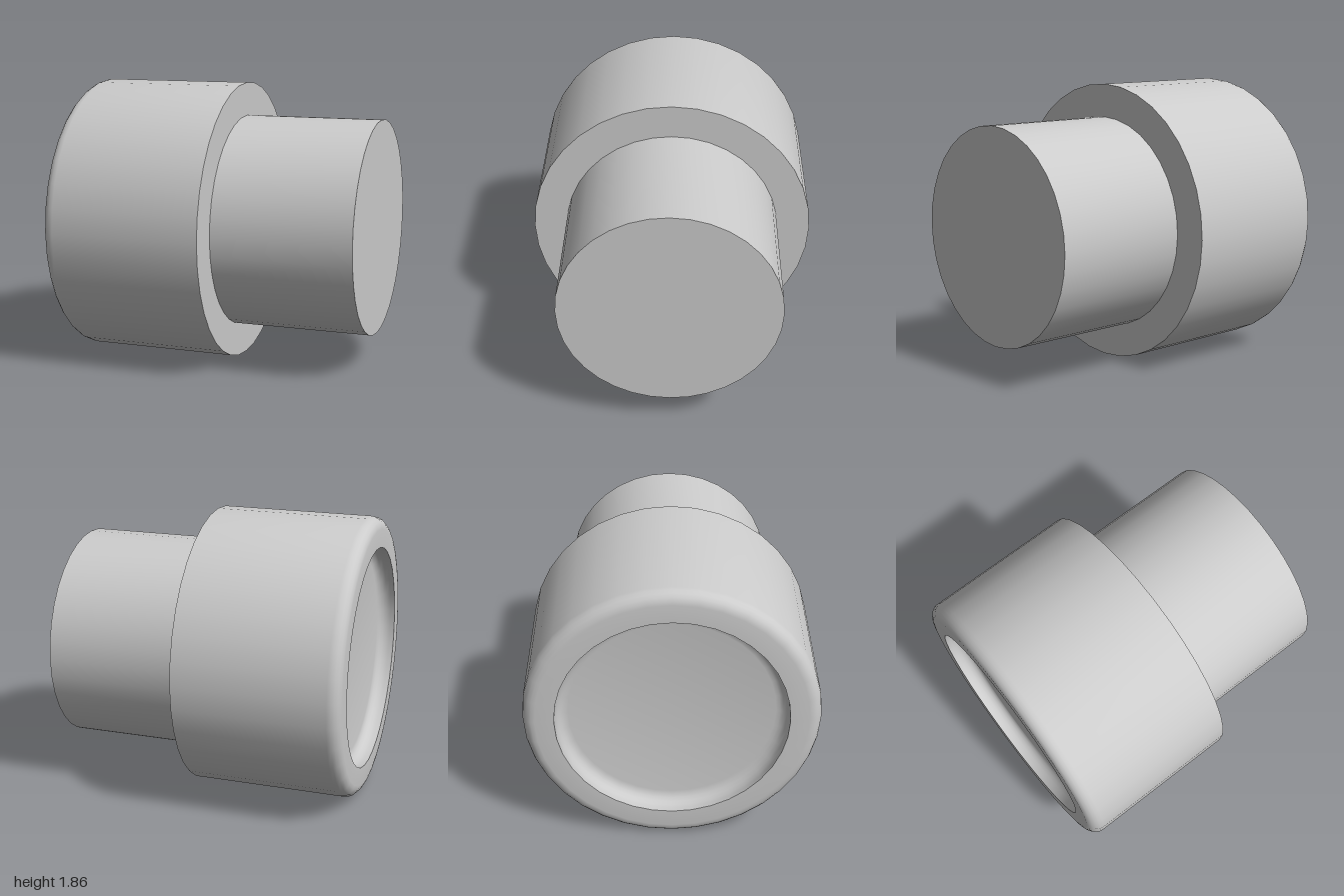
import * as THREE from 'three';
import { toCreasedNormals } from 'three/addons/utils/BufferGeometryUtils.js';

const SEGMENTS = 36;
const AXIS_HEIGHT = 0.93;

// Quarter-circle profile points (radius, position along the axis)
function fillet(cx, cy, r, from, to, steps = 5) {
  return Array.from({ length: steps + 1 }, (_, i) => {
    const a = from + ((to - from) * i) / steps;
    return new THREE.Vector2(cx + r * Math.cos(a), cy + r * Math.sin(a));
  });
}

// Turn a profile around the x axis, keeping hard edges crisp
function turned(name, points, material) {
  const geometry = toCreasedNormals(new THREE.LatheGeometry(points, SEGMENTS), 0.7);
  geometry.rotateZ(-Math.PI / 2);
  const mesh = new THREE.Mesh(geometry, material);
  mesh.name = name;
  mesh.position.y = AXIS_HEIGHT;
  return mesh;
}

export function createModel() {
  const group = new THREE.Group();
  group.name = 'steppedPlug';
  const material = new THREE.MeshStandardMaterial({ color: 0xcccccc });
  const p = (r, x) => new THREE.Vector2(r, x);

  // Wide head with a dished end, rounded rim and flat shoulder
  const head = [
    p(0, -0.89),
    ...fillet(0.65, -0.97, 0.08, Math.PI / 2, 0),
    p(0.73, -1),
    ...fillet(0.85, -0.92, 0.08, -Math.PI / 2, 0),
    p(0.93, 0.075),
    p(0.71, 0.075),
  ];
  group.add(turned('head', head, material));

  // Narrower neck with a flat end
  group.add(turned('neck', [p(0.71, 0.075), p(0.71, 1), p(0, 1)], material));

  return group;
}
